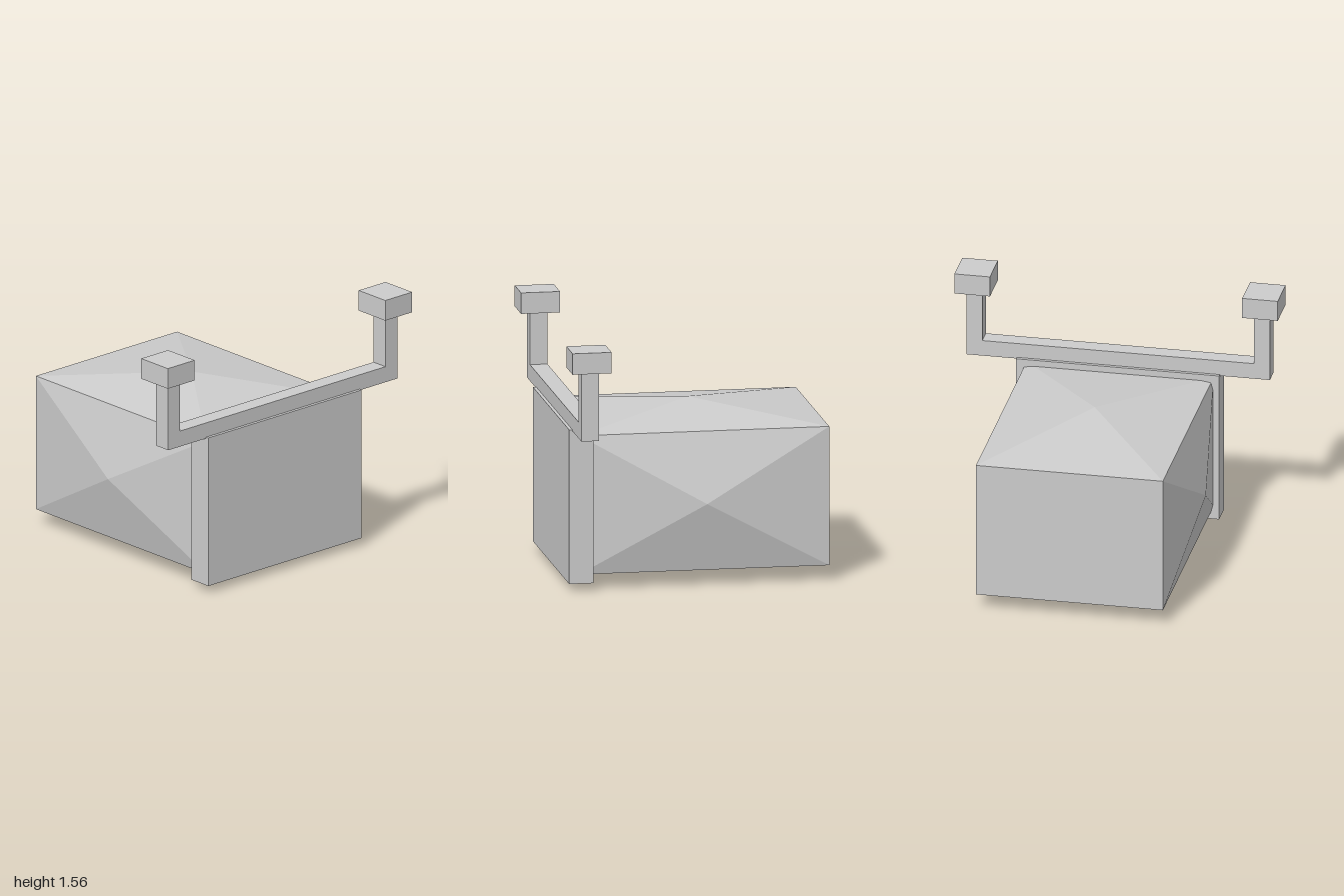
import * as THREE from 'three';
import { ConvexGeometry } from 'three/addons/geometries/ConvexGeometry.js';

const material = new THREE.MeshStandardMaterial({ color: 0xcccccc, flatShading: true });

function addMesh(parent, name, geometry) {
  const mesh = new THREE.Mesh(geometry, material);
  mesh.name = name;
  parent.add(mesh);
  return mesh;
}

// Box given by its minimum and maximum corners
function addBox(parent, name, [x0, y0, z0], [x1, y1, z1]) {
  const mesh = addMesh(parent, name, new THREE.BoxGeometry(x1 - x0, y1 - y0, z1 - z0));
  mesh.position.set((x0 + x1) / 2, (y0 + y1) / 2, (z0 + z1) / 2);
}

export function createModel() {
  const model = new THREE.Group();

  // Body: a box whose top, bottom, front and back swell to a shallow point
  const midX = -0.06, midY = 0.528;
  const points = [];
  for (const sx of [-1, 1])
    for (const sy of [-1, 1])
      for (const sz of [-1, 1])
        points.push(new THREE.Vector3(midX + sx * 0.77, midY + sy * 0.43, sz * 0.578));
  for (const s of [-1, 1]) {
    points.push(new THREE.Vector3(midX, midY + s * 0.525, 0));
    points.push(new THREE.Vector3(midX, midY, s * 0.687));
  }
  addMesh(model, 'body', new ConvexGeometry(points));

  // Flat plate closing the side of the body
  addBox(model, 'sidePlate', [0.63, 0.052, -0.628], [0.78, 1.008, 0.628]);

  // U-shaped handle: a long bar with an upright at each end
  const outline = [[-0.938, 1.0], [0.938, 1.0], [0.938, 1.43], [0.841, 1.43],
    [0.841, 1.1], [-0.841, 1.1], [-0.841, 1.43], [-0.938, 1.43]];
  const shape = new THREE.Shape(outline.map(([z, y]) => new THREE.Vector2(z, y)));
  const handle = new THREE.ExtrudeGeometry(shape, { depth: 0.108, bevelEnabled: false });
  handle.rotateY(-Math.PI / 2).translate(0.76, 0, 0);
  addMesh(model, 'handleBar', handle);

  // Block on top of each upright
  addBox(model, 'frontCap', [0.585, 1.43, 0.78], [0.825, 1.56, 1]);
  addBox(model, 'backCap', [0.585, 1.43, -1], [0.825, 1.56, -0.78]);

  return model;
}
